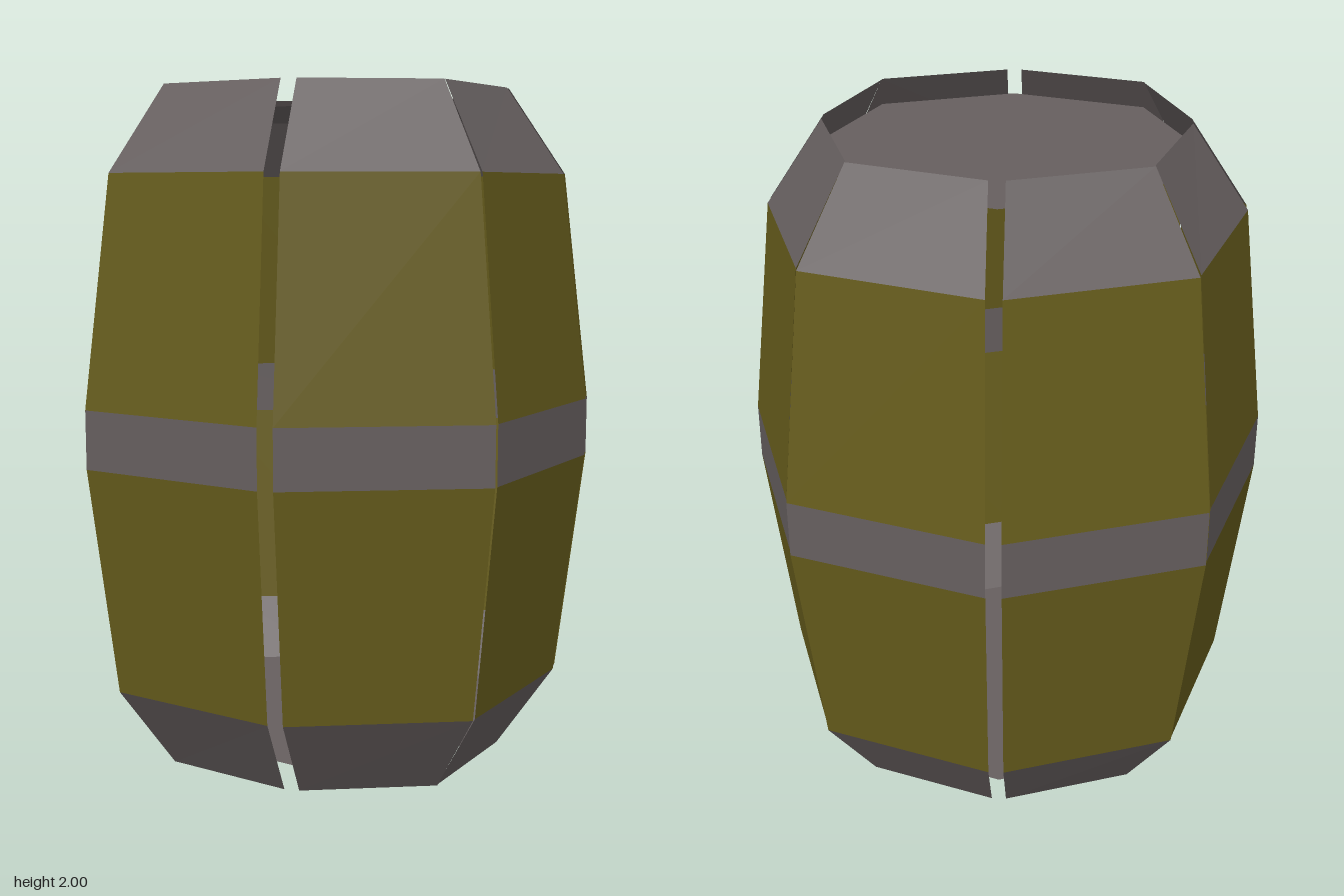
import * as THREE from 'three';

const wood = new THREE.MeshStandardMaterial({ color: 0x665c1c, flatShading: true, side: THREE.DoubleSide });
const iron = new THREE.MeshStandardMaterial({ color: 0x665f5f, flatShading: true, side: THREE.DoubleSide });

const GAP = 0.022;
const LEVELS = [0, 0.25, 0.92, 1.09, 1.75, 2];
const NAMES = ['bottomHoop', 'lowerWood', 'middleHoop', 'upperWood', 'topHoop'];

// Each stave runs from an inner edge beside an axis to an outer edge on the diagonal.
// Values are listed for the rim, the shoulder and the belly.
const FRONT = { axis: [0.54, 0.71, 0.792], cornerX: [0.4, 0.52, 0.58], cornerZ: [0.41, 0.54, 0.603] };
const SIDE = { axis: [0.52, 0.69, 0.77], cornerX: [0.4, 0.523, 0.583], cornerZ: [0.4, 0.524, 0.585] };

function quad(a, b, c, d) {
  const g = new THREE.BufferGeometry();
  g.setAttribute('position', new THREE.Float32BufferAttribute([...a, ...b, ...c, ...a, ...c, ...d], 3));
  g.computeVertexNormals();
  return g;
}

// One thin stave, bent at every level, with hoop and wood segments
function makeStave(profile, isSide, sx, sz) {
  const stave = new THREE.Group();
  const flip = isSide !== (sx * sz < 0);
  const points = LEVELS.map((y, i) => {
    const k = Math.min(i, 5 - i);
    const r = profile.axis[k];
    const inner = isSide ? [sx * r, y, sz * GAP] : [sx * GAP, y, sz * r];
    const corner = [sx * profile.cornerX[k], y, sz * profile.cornerZ[k]];
    return flip ? [corner, inner] : [inner, corner];
  });
  NAMES.forEach((name, i) => {
    const [a, b] = points[i];
    const [d, c] = points[i + 1];
    const mesh = new THREE.Mesh(quad(a, b, c, d), i % 2 ? wood : iron);
    mesh.name = name;
    stave.add(mesh);
  });
  return stave;
}

// Flat eight-sided lid, recessed inside the rim
function makeLid(name, y, up) {
  const corners = [];
  for (let i = 0; i < 8; i++) {
    const r = i % 2 ? 0.4 * Math.SQRT2 : 0.54;
    const a = (i * Math.PI) / 4;
    corners.push(new THREE.Vector2(r * Math.cos(a), r * Math.sin(a)));
  }
  const lid = new THREE.Mesh(new THREE.ShapeGeometry(new THREE.Shape(corners)), iron);
  lid.rotation.x = up ? -Math.PI / 2 : Math.PI / 2;
  lid.position.y = y;
  lid.name = name;
  return lid;
}

export function createModel() {
  const barrel = new THREE.Group();
  barrel.name = 'barrel';
  for (const sx of [1, -1]) {
    for (const sz of [1, -1]) {
      const where = (sz > 0 ? 'front' : 'back') + (sx > 0 ? 'Left' : 'Right');
      const main = makeStave(FRONT, false, sx, sz);
      main.name = where + 'Stave';
      const side = makeStave(SIDE, true, sx, sz);
      side.name = where + 'SideStave';
      barrel.add(main, side);
    }
  }
  barrel.add(makeLid('topLid', 1.925, true), makeLid('bottomLid', 0.075, false));
  return barrel;
}
